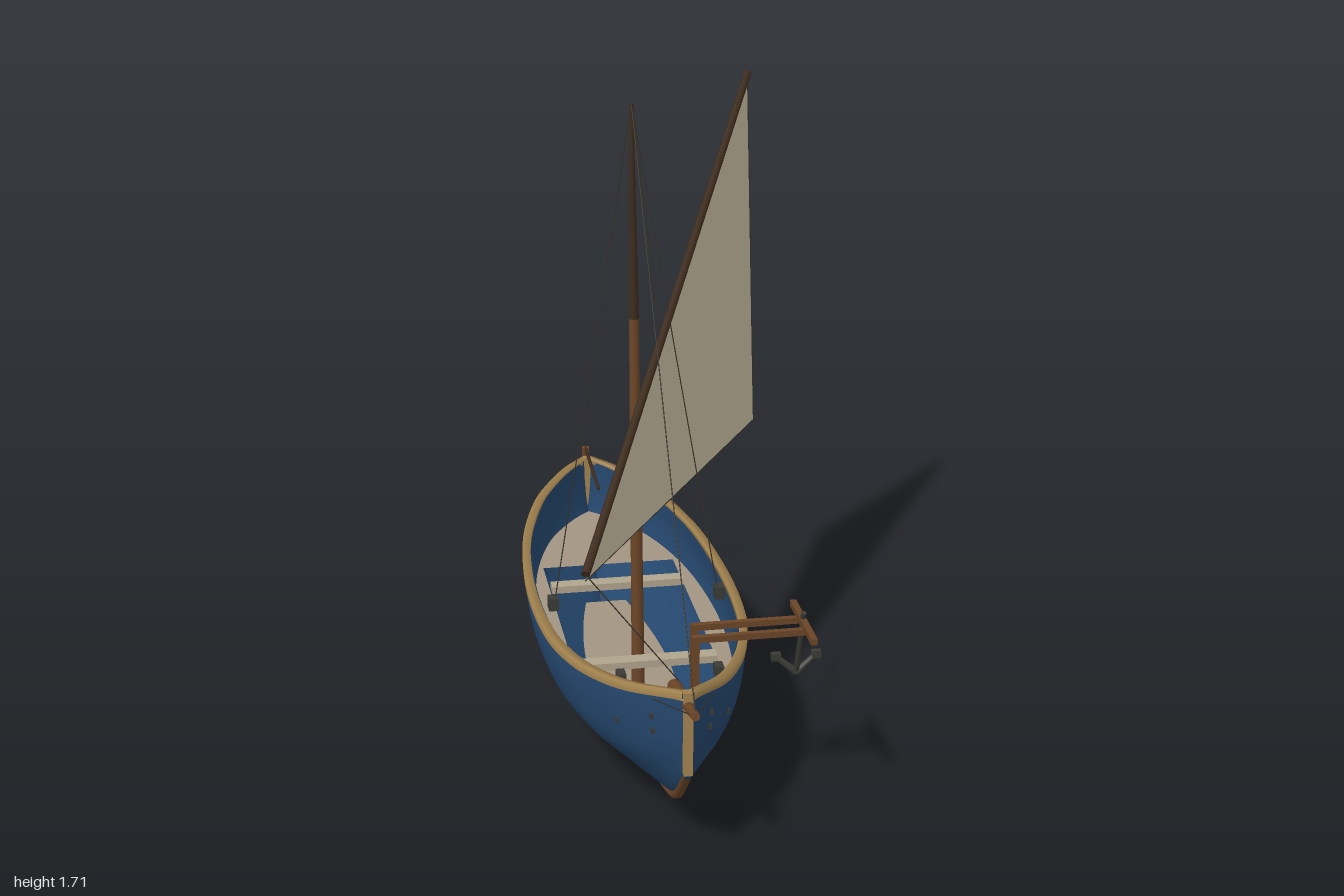
import * as THREE from 'three';

const mat = (name, color, double) => {
  const m = new THREE.MeshStandardMaterial({ color });
  m.name = name;
  if (double) m.side = THREE.DoubleSide;
  return m;
};
const M = {
  blue: mat('hullBlue', 0x25476e, true),
  rail: mat('railTan', 0xa3834f, true),
  wood: mat('brownWood', 0x6b4527),
  dark: mat('darkSpar', 0x3d2b1d),
  deck: mat('deckBeige', 0xa39482, true),
  thwart: mat('thwartBeige', 0xb0a48c),
  sail: mat('sailCloth', 0xcfc3a8, true),
  iron: mat('iron', 0x3a3b36),
  rope: mat('rope', 0x38322a),
};
const V = (x, y, z) => new THREE.Vector3(x, y, z);

// Smooth interpolation through a short table of [x, y] pairs
function table(pts) {
  const slope = i => {
    const a = pts[Math.max(0, i - 1)], b = pts[Math.min(pts.length - 1, i + 1)];
    return (b[1] - a[1]) / (b[0] - a[0]);
  };
  return x => {
    let i = 0;
    while (i < pts.length - 2 && x > pts[i + 1][0]) i++;
    const [x0, y0] = pts[i], [x1, y1] = pts[i + 1], h = x1 - x0;
    const t = Math.min(1, Math.max(0, (x - x0) / h)), u = 1 - t;
    return y0 * u * u * (1 + 2 * t) + y1 * t * t * (3 - 2 * t)
      + h * slope(i) * t * u * u - h * slope(i + 1) * t * t * u;
  };
}

// Hull lines: half beam, sheer and keel along z; half width against height
const STERN = -0.84, BOW = 0.9;
const beam = table([[-0.84, 0.008], [-0.8, 0.055], [-0.72, 0.115], [-0.6, 0.178], [-0.4, 0.235], [-0.2, 0.263],
  [0.05, 0.273], [0.3, 0.258], [0.45, 0.228], [0.6, 0.18], [0.75, 0.113], [0.85, 0.045], [0.9, 0.008]]);
const sheer = table([[-0.84, 0.41], [-0.65, 0.385], [-0.39, 0.368], [0, 0.358], [0.46, 0.375], [0.68, 0.408], [0.9, 0.465]]);
const keel = table([[-0.84, 0.2], [-0.78, 0.14], [-0.69, 0.09], [-0.5, 0.045], [0, 0.015], [0.49, 0.04], [0.63, 0.072], [0.76, 0.125], [0.9, 0.25]]);
const section = table([[0, 0.02], [0.1, 0.24], [0.25, 0.52], [0.4, 0.78], [0.56, 0.92], [0.8, 1], [1, 0.985]]);
const halfAt = (z, y) => beam(z) * section((y - keel(z)) / (sheer(z) - keel(z)));
const stations = (a, b, n) => Array.from({ length: n + 1 }, (_, i) => a + (b - a) * i / n);

// Surface through rows of points
function loft(rows) {
  const n = rows[0].length, idx = [];
  for (let i = 0; i < rows.length - 1; i++)
    for (let j = 0; j < n - 1; j++) {
      const a = i * n + j, b = a + n;
      idx.push(a, b, a + 1, b, b + 1, a + 1);
    }
  const g = new THREE.BufferGeometry().setFromPoints(rows.flat());
  g.setIndex(idx);
  g.computeVertexNormals();
  return g;
}

function shell(inset) {
  return loft(stations(STERN, BOW, 70).map(z => stations(-1, 1, 32).map(s => {
    const v = Math.abs(s), k = keel(z) + inset * 0.4, w = beam(z) * section(v);
    return V(Math.sign(s) * Math.max(0, w - inset * (1.4 - 0.6 * v)), k + (sheer(z) - k) * v, z);
  })));
}

// Flat level planking that follows the hull
function planking(y, z0, z1, inset, hole) {
  const side = stations(z0, z1, 40).map(z => [Math.max(0.002, halfAt(z, y) - inset), z]);
  const outline = [...side, ...side.slice().reverse().map(([x, z]) => [-x, z])];
  const s = new THREE.Shape(outline.map(p => new THREE.Vector2(...p)));
  if (hole) s.holes.push(new THREE.Path(hole.map(p => new THREE.Vector2(...p))));
  return new THREE.ShapeGeometry(s).rotateX(Math.PI / 2).translate(0, y, 0);
}

export function createModel() {
  const model = new THREE.Group();
  model.name = 'sailingBoat';
  const boat = new THREE.Group();
  boat.name = 'boat';
  boat.position.x = -0.115;
  model.add(boat);

  const add = (name, geo, m) => {
    const mesh = new THREE.Mesh(geo, m);
    mesh.name = name;
    boat.add(mesh);
    return mesh;
  };
  const box = (name, m, w, h, d, x, y, z) => add(name, new THREE.BoxGeometry(w, h, d).translate(x, y, z), m);
  const rod = (name, m, a, b, r0, r1 = r0, sides = 10) => {
    const d = b.clone().sub(a);
    const mesh = add(name, new THREE.CylinderGeometry(r1, r0, d.length(), sides), m);
    mesh.position.copy(a).addScaledVector(d, 0.5);
    mesh.quaternion.setFromUnitVectors(V(0, 1, 0), d.normalize());
    return mesh;
  };
  const rope = (name, a, b) => rod(name, M.rope, a, b, 0.0016, 0.0016, 5);
  const tube = (name, m, pts, r, sides = 6, n = 60) =>
    add(name, new THREE.TubeGeometry(new THREE.CatmullRomCurve3(pts), n, r, sides), m);

  // Hull
  add('hull', shell(0), M.blue);
  add('innerHull', shell(0.02), M.blue);
  tube('keel', M.wood, stations(STERN, BOW, 30).map(z => V(0, keel(z), z)), 0.013);
  box('stem', M.rail, 0.022, 0.22, 0.022, 0, 0.362, 0.9);
  box('sternPost', M.rail, 0.022, 0.22, 0.022, 0, 0.308, -0.84);

  // Gunwale rails and bilge strips
  for (const s of [-1, 1]) {
    add('gunwale', loft(stations(STERN - 0.005, BOW + 0.005, 70).map(z => {
      const o = beam(z) + 0.007, i = Math.max(0, beam(z) - 0.016), y = sheer(z);
      return [[o, y - 0.015], [o, y + 0.008], [i, y + 0.008], [i, y - 0.01], [o, y - 0.015]].map(([x, h]) => V(s * x, h, z));
    })), M.rail);
    tube('bilgeStrip', M.wood, stations(-0.45, 0.5, 16).map(z => V(s * halfAt(z, keel(z) + 0.055), keel(z) + 0.055, z)), 0.003, 5);
    for (const z of [0.29, 0.03, -0.225]) box('bilgeBlock', M.wood, 0.02, 0.018, 0.022, s * (halfAt(z, 0.075) + 0.002), 0.075, z);
    // Small fittings on the hull sides
    for (const [z, y] of [[0.81, 0.37], [0.81, 0.33], [0.69, 0.305], [-0.79, 0.35], [-0.72, 0.32], [-0.685, 0.285]])
      box('hullFitting', M.iron, 0.01, 0.014, 0.01, s * halfAt(z, y), y, z);
    box('shroudBlock', M.iron, 0.026, 0.035, 0.034, s * 0.225, 0.375, 0.123);
    box('bowCleat', M.iron, 0.022, 0.03, 0.035, s * 0.123, 0.4, 0.65);
  }
  box('sternCleat', M.iron, 0.022, 0.025, 0.03, 0.095, 0.395, -0.71);

  // Deck with open cockpit, floor and thwarts
  add('deck', planking(0.25, -0.82, 0.87, 0.02, [[-0.19, -0.4], [0.19, -0.4], [0.19, 0.46], [-0.19, 0.46]]), M.deck);
  add('floor', planking(0.105, -0.46, 0.52, 0.01), M.deck);
  for (const z of [-0.23, 0.285]) box('thwart', M.thwart, 0.375, 0.02, 0.042, 0, 0.262, z);

  // Mast, yard and bowsprit
  const top = V(0, 1.71, 0.08), tip = V(0, 0.455, 1);
  rod('mast', M.wood, V(0, 0.1, 0.146), V(0, 1.15, 0.103), 0.018, 0.013);
  rod('mastTop', M.dark, V(0, 1.15, 0.103), top, 0.013, 0.005);
  const yardLow = V(-0.225, 0.738, 0.78), yardHigh = V(0.455, 1.62, -0.68);
  rod('yard', M.dark, yardLow, yardHigh, 0.011, 0.011);
  rod('bowsprit', M.wood, V(0, 0.395, 0.71), tip, 0.018, 0.011);

  // Triangular sail hung just below the yard
  const tack = V(-0.225, 0.722, 0.78), peak = V(0.453, 1.597, -0.676), clew = V(0.505, 0.528, -0.785);
  add('sail', new THREE.BufferGeometry().setFromPoints([tack, clew, peak]), M.sail).geometry.computeVertexNormals();
  rope('leechRope', peak, clew);
  rope('footRope', tack, clew);

  // Rigging
  rope('forestay', top, tip);
  rope('halyard', top, V(0.059, 1.107, 0.17));
  rope('tackLine', yardLow, V(0, 0.44, 0.775));
  rope('sheet', clew, V(0.105, 0.405, -0.715));
  for (const s of [-1, 1]) {
    rope('shroud', top, V(s * 0.22, 0.385, 0.125));
    rope('bowspritGuy', tip, V(s * 0.075, 0.425, 0.83));
  }

  // Rudder and tiller
  box('rudderPost', M.wood, 0.02, 0.39, 0.02, 0, 0.245, -0.867);
  box('rudderBlade', M.wood, 0.018, 0.112, 0.135, 0, 0.112, -0.932);
  for (const y of [0.08, 0.16, 0.225, 0.37]) box('rudderHinge', M.iron, 0.014, 0.01, 0.035, 0, y, -0.848);
  rod('tiller', M.dark, V(0, 0.41, -0.59), V(0, 0.437, -0.87), 0.005);

  // Anchor davit: two bent arms and a crossbar
  for (const [z, x] of [[0.605, 0.06], [0.677, 0.05]]) {
    box('davitPost', M.wood, 0.018, 0.255, 0.016, x + 0.009, 0.375, z);
    box('davitArm', M.wood, 0.34 - x, 0.016, 0.016, (x + 0.34) / 2, 0.5, z);
  }
  box('davitCrossbar', M.wood, 0.016, 0.016, 0.24, 0.335, 0.515, 0.655);

  // Anchor
  const crown = V(0.335, 0.345, 0.585);
  rod('anchorShank', M.iron, crown, V(0.335, 0.54, 0.655), 0.007);
  for (const s of [-1, 1]) {
    const fluke = V(0.335 + s * 0.052, 0.39, 0.58);
    rod('anchorArm', M.iron, crown, fluke, 0.01, 0.007);
    box('anchorFluke', M.iron, 0.024, 0.02, 0.016, fluke.x, fluke.y, fluke.z);
  }
  return model;
}
